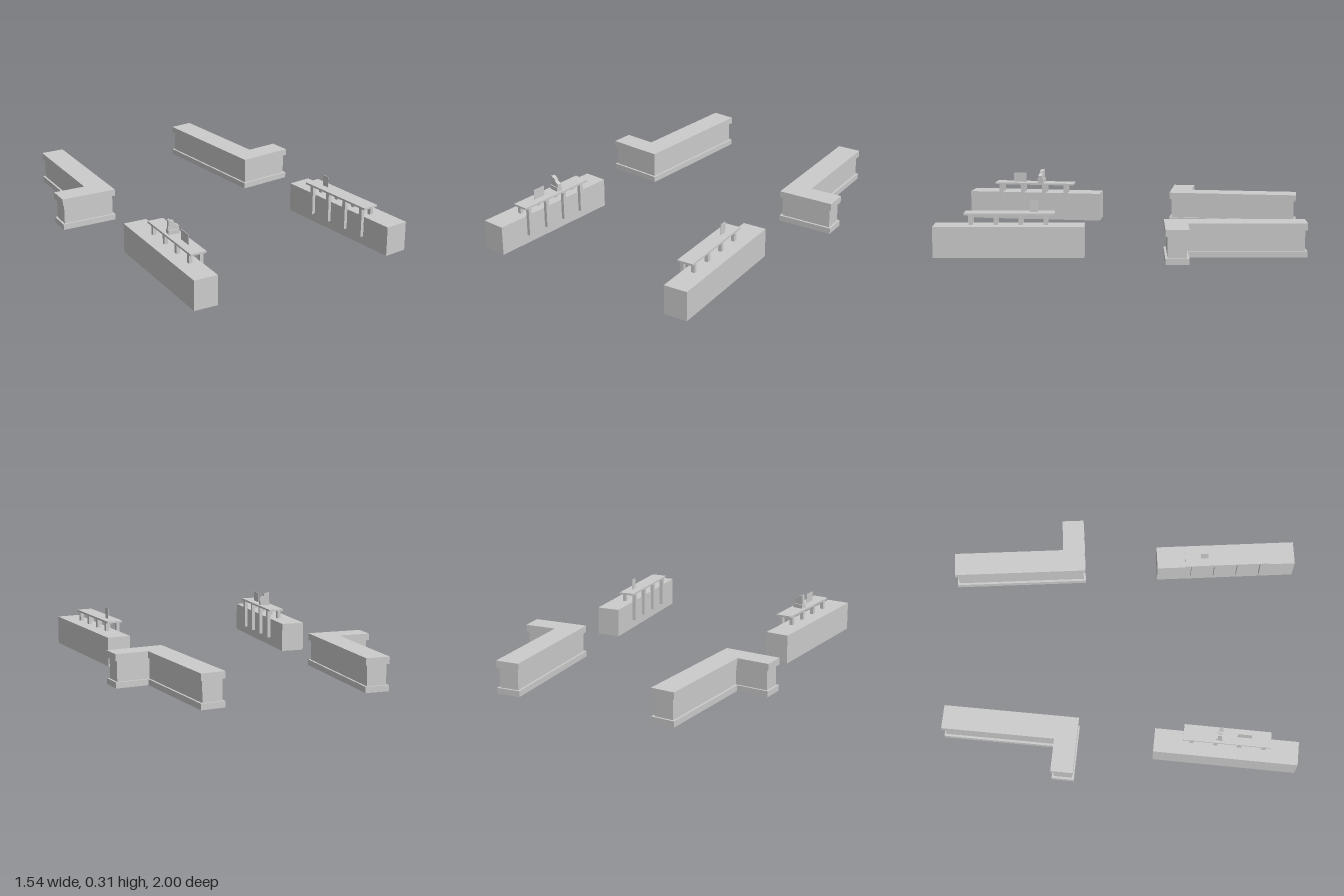
import * as THREE from 'three';

const material = new THREE.MeshStandardMaterial({ color: 0xcccccc, flatShading: true });

function addMesh(parent, name, geometry, x = 0, y = 0, z = 0) {
  const mesh = new THREE.Mesh(geometry, material);
  mesh.name = name;
  mesh.position.set(x, y, z);
  parent.add(mesh);
  return mesh;
}

// Box standing on height y0 and reaching y1
function addBox(parent, name, w, d, y0, y1, x, z) {
  return addMesh(parent, name, new THREE.BoxGeometry(w, y1 - y0, d), x, (y0 + y1) / 2, z);
}

// L-shaped slab; side mirrors it, inset shrinks the outline evenly
function addCornerSlab(parent, name, side, inset, y0, y1) {
  const arm = 0.76, armWidth = 0.135, foot = 0.321, footWidth = 0.125, i = inset;
  const outline = [
    [i, i], [foot - i, i], [foot - i, footWidth - i],
    [armWidth - i, footWidth - i], [armWidth - i, arm - i], [i, arm - i],
  ];
  const shape = new THREE.Shape(outline.map(([u, v]) => new THREE.Vector2(side * u, v)));
  const geometry = new THREE.ExtrudeGeometry(shape, { depth: y1 - y0, bevelEnabled: false });
  geometry.rotateX(-Math.PI / 2);
  addMesh(parent, name, geometry, 0, y0, 0);
}

// L-shaped counter with plinth, recessed wall and cap
function createCornerCounter(side) {
  const group = new THREE.Group();
  addCornerSlab(group, 'plinth', side, 0, 0, 0.033);
  addCornerSlab(group, 'recessedWall', side, 0.012, 0.033, 0.147);
  addCornerSlab(group, 'cap', side, 0, 0.147, 0.185);
  group.rotation.y = side * 0.068;
  return group;
}

// Straight counter with a raised shelf on two rows of posts
function createStraightCounter(side) {
  const group = new THREE.Group();
  addBox(group, 'counterBody', 0.135, 0.805, 0, 0.166, 0, 0);
  addBox(group, 'shelf', 0.091, 0.484, 0.217, 0.228, -side * 0.044, 0);
  for (let i = 0; i < 4; i++) {
    const z = (i - 1.5) * 0.134 + 0.006;
    addBox(group, 'longPost', 0.02, 0.022, 0.05, 0.217, -side * 0.077, z);
    addBox(group, 'shortPost', 0.02, 0.022, 0.166, 0.217, -side * 0.012, z);
  }
  group.rotation.y = side * 0.071;
  return group;
}

// Till: wide base with a narrower stepped, sloping top
function createTill() {
  const group = new THREE.Group();
  addBox(group, 'tillBase', 0.06, 0.036, 0, 0.024, 0, 0);
  const profile = [
    [-0.029, 0.022], [0.029, 0.022], [0.029, 0.043], [0.006, 0.055],
    [0.001, 0.07], [-0.014, 0.072], [-0.018, 0.078], [-0.028, 0.078],
  ];
  const shape = new THREE.Shape(profile.map(([x, y]) => new THREE.Vector2(x, y)));
  const geometry = new THREE.ExtrudeGeometry(shape, { depth: 0.022, bevelEnabled: false });
  addMesh(group, 'tillTop', geometry, 0, 0, -0.011);
  return group;
}

export function createModel() {
  const model = new THREE.Group();
  model.name = 'counterSet';

  // Rear pair of corner counters
  for (const side of [1, -1]) {
    const counter = createCornerCounter(side);
    counter.name = side > 0 ? 'leftCornerCounter' : 'rightCornerCounter';
    counter.position.set(side > 0 ? 0.445 : -0.451, 0, -0.233);
    model.add(counter);
  }

  // Front pair of straight counters
  const left = createStraightCounter(1);
  left.name = 'leftStraightCounter';
  left.position.set(0.574, 0, 0.586);
  const right = createStraightCounter(-1);
  right.name = 'rightStraightCounter';
  right.position.set(-0.59, 0, 0.592);
  model.add(left, right);

  // Thin upright boards and the till on the shelves
  addBox(left, 'uprightBoard', 0.003, 0.043, 0.228, 0.29, -0.04, -0.13);
  addBox(right, 'uprightBoard', 0.003, 0.078, 0.228, 0.285, 0.045, 0.095);
  const till = createTill();
  till.name = 'till';
  till.position.set(-0.543, 0.228, 0.556);
  till.rotation.y = -0.2;
  model.add(till);

  return model;
}
